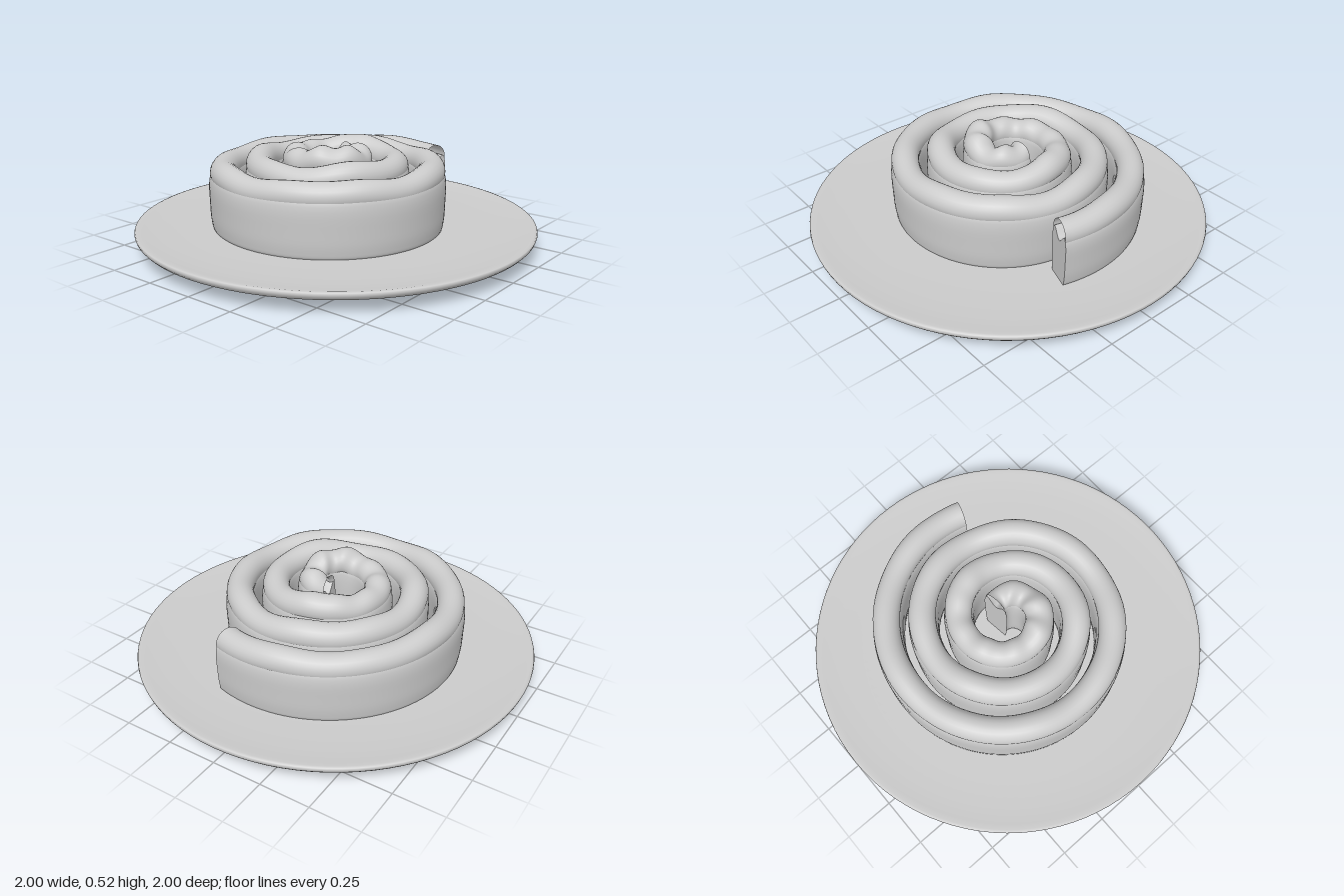
import * as THREE from 'three';

const T0 = -0.052, T1 = 3.02, STEPS = 360;   // spiral range, in turns
const grey = () => new THREE.MeshStandardMaterial({ color: 0xcccccc, side: THREE.DoubleSide });

// Sweeps a closed section(t) of [outward, height] points along the spiral
function sweepSpiral(section, capped) {
  const pos = [], idx = [];
  let n = 0;
  const place = (t, [u, v]) => {
    const a = -2 * Math.PI * t, r = 0.625 - 0.18 * t + u;
    pos.push(r * Math.cos(a), v, r * Math.sin(a));
  };
  for (let i = 0; i <= STEPS; i++) {
    const t = T0 + (T1 - T0) * i / STEPS;
    const ring = section(t);
    n = ring.length;
    ring.forEach(p => place(t, p));
  }
  for (let i = 0; i < STEPS; i++) {
    for (let j = 0; j < n; j++) {
      const a = i * n + j, c = i * n + (j + 1) % n;
      idx.push(a, a + n, c, c, a + n, c + n);
    }
  }
  if (capped) {
    for (const t of [T0, T1]) {
      const ring = section(t), base = pos.length / 3;
      ring.forEach(p => place(t, p));
      place(t, [0, 0.2]);
      for (let j = 0; j < n; j++) {
        const a = base + j, b = base + (j + 1) % n;
        if (t === T0) idx.push(a, b, base + n);
        else idx.push(b, a, base + n);
      }
    }
  }
  const geo = new THREE.BufferGeometry();
  geo.setAttribute('position', new THREE.Float32BufferAttribute(pos, 3));
  geo.setIndex(idx);
  geo.computeVertexNormals();
  return geo;
}

// The coil climbs towards the middle and gets lumpier there
const climb = t => 0.345 + 0.03 * t;
function wave(t) {
  const s = 2 * Math.PI * (0.625 * t - 0.09 * t * t);   // length along the coil
  const lump = Math.max(0, t - 1.9);
  return (0.004 + 0.003 * t) * (Math.sin(9 * s + 1) + 0.6 * Math.sin(17 * s))
    + 0.012 * lump * Math.sin(44 * s);
}

// Tall strip with a hollowed top that holds the icing
function doughSection(t) {
  const h = climb(t) + 0.4 * wave(t);
  const half = [[0.056, 0.085], [0.067, 0.12], [0.072, 0.21], [0.07, h - 0.03], [0.052, h + 0.005]];
  const ring = [...half, [0, h - 0.045], ...half.map(([u, v]) => [-u, v]).reverse()];
  const curve = new THREE.CatmullRomCurve3(ring.map(([u, v]) => new THREE.Vector3(u, v, 0)), true);
  return curve.getPoints(44).slice(0, 44).map(p => [p.x, p.y]);
}

// Round rope with a wavering height and thickness
function icingSection(t) {
  const w = wave(t), c = climb(t) + w, r = 0.067 + 0.2 * w;
  return Array.from({ length: 24 }, (_, j) => {
    const a = j / 24 * 2 * Math.PI;
    return [r * Math.cos(a), c + r * Math.sin(a)];
  });
}

function lathe(points) {
  return new THREE.LatheGeometry(points.map(([x, y]) => new THREE.Vector2(x, y)), 96);
}

export function createModel() {
  const group = new THREE.Group();
  const add = (name, geo) => {
    const mesh = new THREE.Mesh(geo, grey());
    mesh.name = name;
    group.add(mesh);
  };

  // Shallow plate with a raised rounded rim
  add('plate', lathe([
    [0, 0.03], [0.39, 0.03], [0.5, 0.034], [0.75, 0.051], [0.97, 0.068], [0.985, 0.071],
    [0.996, 0.083], [1, 0.095], [0.997, 0.104], [0.985, 0.107], [0.96, 0.103],
    [0.88, 0.095], [0.75, 0.09], [0.5, 0.088], [0, 0.088],
  ]));
  // Foot ring under the plate
  add('plateFoot', lathe([
    [0, 0.012], [0.36, 0.012], [0.366, 0.004], [0.372, 0], [0.382, 0],
    [0.388, 0.006], [0.39, 0.02], [0.402, 0.036],
  ]));
  // Rolled bun
  add('doughSpiral', sweepSpiral(doughSection, true));
  add('icingRope', sweepSpiral(icingSection, false));
  return group;
}
